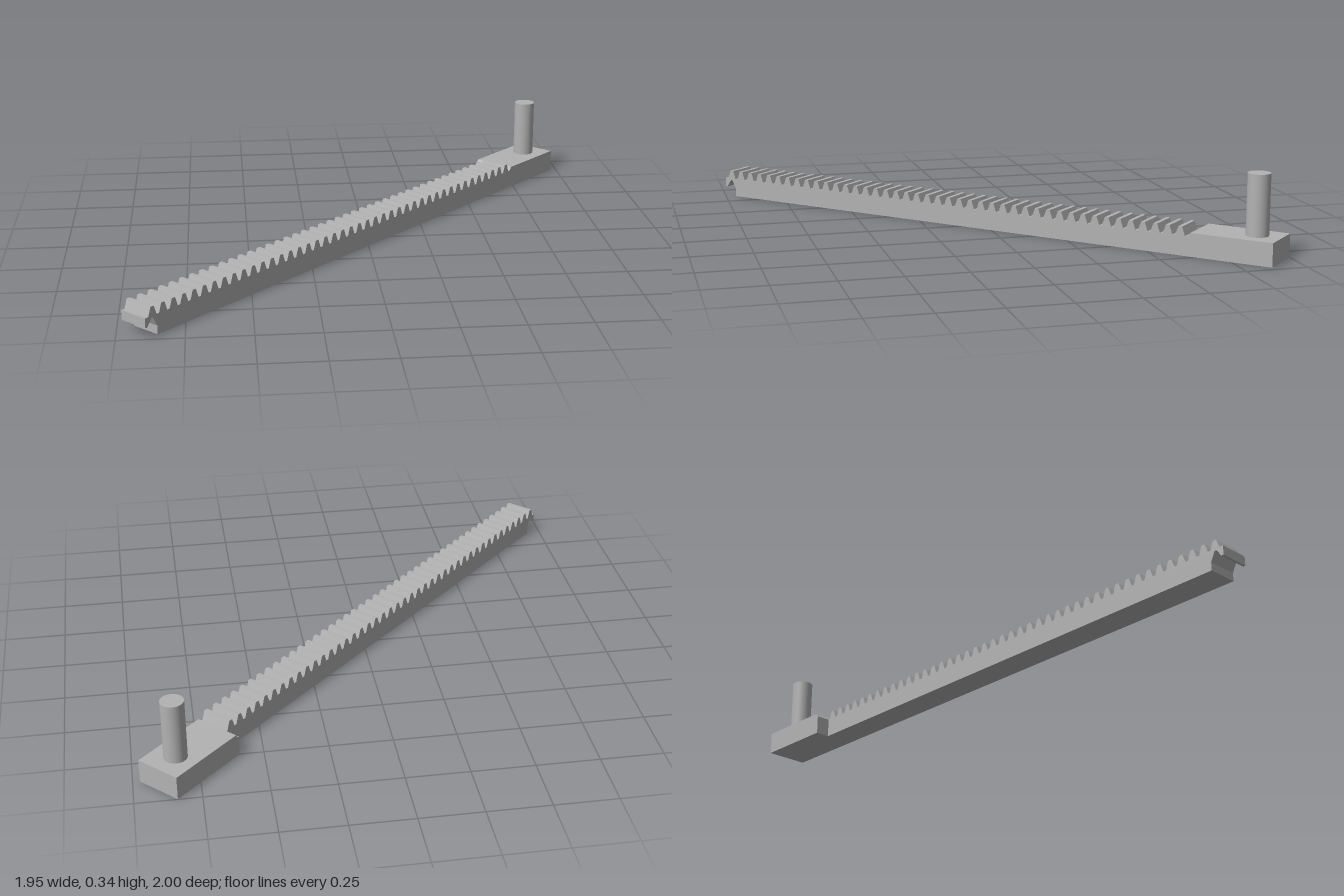
import * as THREE from 'three';

const MIN_W = -0.05, MAX_W = 0.075; // side faces of the bar
const TEETH = 43, FIRST = -1.298, LAST = 0.922;

export function createModel() {
  const model = new THREE.Group();
  model.name = 'gearRack';
  const grey = new THREE.MeshStandardMaterial({ color: 0xb3b3b3 });
  grey.name = 'plain grey';

  // The bar lies diagonally: local x runs along it, local z across it
  const bar = new THREE.Group();
  bar.name = 'rackAssembly';
  bar.rotation.y = Math.PI / 4;
  model.add(bar);

  const add = (name, geometry, x, y, z) => {
    const mesh = new THREE.Mesh(geometry, grey);
    mesh.name = name;
    mesh.position.set(x, y, z);
    bar.add(mesh);
  };

  // Toothed bar: side profile with a V notch under the free end
  const profile = new THREE.Shape();
  profile.moveTo(-1.277, 0);
  profile.lineTo(0.965, 0);
  profile.lineTo(0.965, 0.095);
  profile.lineTo(0.954, 0.08);
  const pitch = (LAST - FIRST) / (TEETH - 1);
  for (let i = TEETH - 1; i >= 0; i--) {
    const c = FIRST + i * pitch;
    profile.lineTo(c + 0.0205, 0.08);
    profile.lineTo(c + 0.008, 0.116);
    profile.lineTo(c - 0.008, 0.116);
    profile.lineTo(c - 0.0205, 0.08);
  }
  profile.lineTo(-1.335, 0.08);
  profile.lineTo(-1.335, 0.042);
  profile.lineTo(-1.325, 0.042);
  profile.lineTo(-1.304, 0.072);
  profile.lineTo(-1.296, 0.072);
  profile.lineTo(-1.277, 0.034);
  profile.closePath();
  const rack = new THREE.ExtrudeGeometry(profile, { depth: MAX_W - MIN_W, bevelEnabled: false });
  add('toothedBar', rack, 0, 0, MIN_W);

  // Wider head block, its near edge sloping down to the last tooth gap
  const side = new THREE.Shape();
  side.moveTo(0.95, 0);
  side.lineTo(1.301, 0);
  side.lineTo(1.301, 0.095);
  side.lineTo(0.965, 0.095);
  side.lineTo(0.954, 0.08);
  side.lineTo(0.95, 0.08);
  side.closePath();
  const head = new THREE.ExtrudeGeometry(side, { depth: 0.187, bevelEnabled: false });
  add('headBlock', head, 0, 0, MAX_W - 0.187);

  // Upright pin on the head
  add('pin', new THREE.CylinderGeometry(0.045, 0.045, 0.26, 40), 1.202, 0.21, -0.02);

  return model;
}
